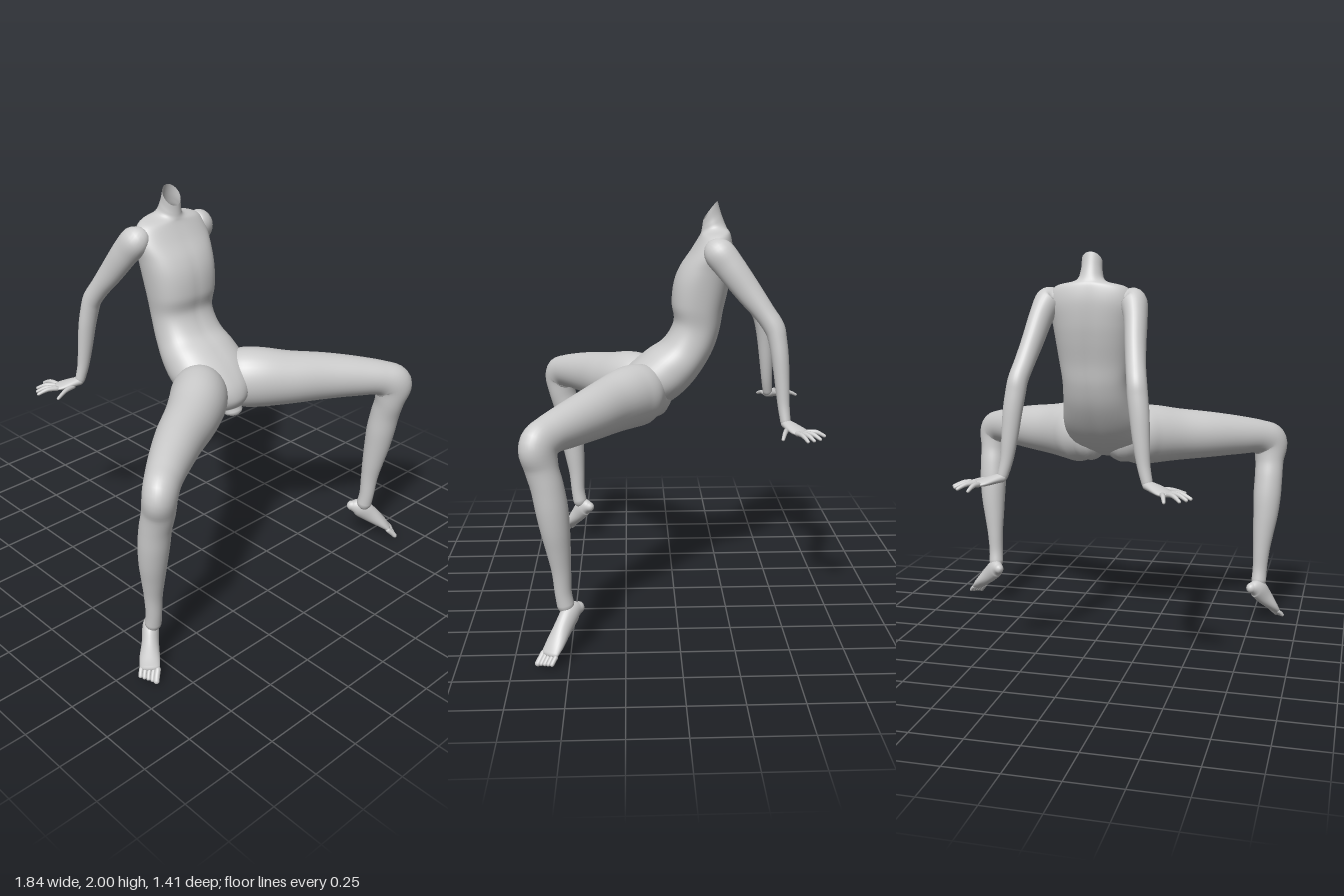
import * as THREE from 'three';

const V3 = (x, y, z) => new THREE.Vector3(x, y, z);
const CENTER = -0.03; // the body's mirror plane
const material = new THREE.MeshStandardMaterial({ color: 0xcccccc, side: THREE.DoubleSide });

// Smoothly interpolate rows of numbers
function refine(rows, steps) {
  const out = [];
  const at = (i) => rows[Math.max(0, Math.min(rows.length - 1, i))];
  for (let i = 0; i < rows.length - 1; i++) {
    for (let s = 0; s < steps; s++) {
      const t = s / steps;
      out.push(rows[i].map((p1, k) => {
        const p0 = at(i - 1)[k], p2 = at(i + 1)[k], p3 = at(i + 2)[k];
        return p1 + 0.5 * t * (p2 - p0 + t * (2 * p0 - 5 * p1 + 4 * p2 - p3 + t * (3 * (p1 - p2) + p3 - p0)));
      }));
    }
  }
  out.push(rows[rows.length - 1]);
  return out;
}

// Add a rounded end to a list of rings { c, U, V }
function dome(rings, atStart) {
  const n = rings.length;
  const end = rings[atStart ? 0 : n - 1], next = rings[atStart ? 1 : n - 2];
  const dir = end.c.clone().sub(next.c).normalize();
  const r = Math.min(end.U.length(), end.V.length());
  for (let k = 1; k <= 4; k++) {
    const a = k * Math.PI / 8, s = Math.max(Math.cos(a), 0.01);
    const ring = {
      c: end.c.clone().addScaledVector(dir, r * Math.sin(a)),
      U: end.U.clone().multiplyScalar(s), V: end.V.clone().multiplyScalar(s),
    };
    if (atStart) rings.unshift(ring); else rings.push(ring);
  }
}

// Skin rings into one smooth closed-around surface
function skin(name, rings, sides, shape = () => 1) {
  const pos = [], index = [];
  rings.forEach(({ c, U, V }, i) => {
    for (let j = 0; j < sides; j++) {
      const a = (j / sides) * Math.PI * 2;
      const m = shape(a, i / (rings.length - 1));
      const p = c.clone().addScaledVector(U, Math.cos(a) * m).addScaledVector(V, Math.sin(a) * m);
      pos.push(p.x, p.y, p.z);
      if (i === rings.length - 1) continue;
      const k = (j + 1) % sides, q = i * sides;
      index.push(q + j, q + k, q + sides + j, q + k, q + sides + k, q + sides + j);
    }
  });
  const geo = new THREE.BufferGeometry();
  geo.setAttribute('position', new THREE.Float32BufferAttribute(pos, 3));
  geo.setIndex(index);
  geo.computeVertexNormals();
  const mesh = new THREE.Mesh(geo, material);
  mesh.name = name;
  return mesh;
}

// Limb along rows [x, y, z, radiusU, radiusV]; U follows the side vector
function limb(name, rows, sideVec, s, sides = 28, steps = 6) {
  const fine = refine(rows, steps);
  const cs = fine.map((r) => V3(CENTER + s * r[0], r[1], r[2]));
  const ref = V3(s * sideVec[0], sideVec[1], sideVec[2]);
  const rings = fine.map((r, i) => {
    const T = cs[Math.min(i + 1, cs.length - 1)].clone().sub(cs[Math.max(i - 1, 0)]).normalize();
    const U = ref.clone().addScaledVector(T, -ref.dot(T)).normalize();
    const V = T.clone().cross(U);
    return { c: cs[i], U: U.multiplyScalar(r[3]), V: V.multiplyScalar(r[4]) };
  });
  dome(rings, true);
  dome(rings, false);
  return skin(name, rings, sides);
}

// Torso from the slanted open neck to the pelvis: [frontZ, frontY, backZ, backY, halfWidth]
function torso() {
  const rows = refine([
    [-0.145, 1.91, -0.215, 2.0, 0.05],
    [-0.14, 1.875, -0.235, 1.935, 0.053],
    [-0.135, 1.85, -0.26, 1.875, 0.075],
    [-0.125, 1.825, -0.278, 1.845, 0.175],
    [-0.085, 1.76, -0.29, 1.77, 0.21],
    [-0.03, 1.68, -0.285, 1.67, 0.2],
    [0, 1.6, -0.27, 1.58, 0.19],
    [0.01, 1.5, -0.245, 1.47, 0.177],
    [0, 1.41, -0.225, 1.36, 0.163],
    [0.05, 1.32, -0.185, 1.25, 0.172],
    [0.13, 1.265, -0.11, 1.13, 0.195],
    [0.22, 1.19, -0.03, 1.045, 0.2],
    [0.285, 1.11, 0.06, 0.985, 0.16],
    [0.305, 1.04, 0.13, 0.965, 0.11],
    [0.285, 0.99, 0.2, 0.965, 0.06],
  ], 6);
  const rings = rows.map(([fz, fy, bz, by, w]) => ({
    c: V3(CENTER, (fy + by) / 2, (fz + bz) / 2),
    U: V3(w, 0, 0),
    V: V3(0, (fy - by) / 2, (fz - bz) / 2),
  }));
  dome(rings, false);
  // Squarer chest with a soft spine groove and breastbone hollow
  return skin('torso', rings, 56, (a, t) => {
    const body = Math.sin(Math.PI * Math.min(1, Math.max(0, (t - 0.1) / 0.8)));
    const dent = (angle, width) => Math.exp(-(((a - angle) / width) ** 2));
    return 1 + body * (0.07 * Math.sin(2 * a) ** 2 - 0.07 * dent(1.5 * Math.PI, 0.16) - 0.02 * dent(0.5 * Math.PI, 0.12));
  });
}

function leg(s) {
  return limb('leg', [
    [0.085, 1.06, 0.11, 0.1, 0.12],
    [0.14, 1.07, 0.165, 0.135, 0.15],
    [0.21, 1.07, 0.23, 0.138, 0.152],
    [0.33, 1.06, 0.315, 0.127, 0.136],
    [0.48, 1.05, 0.405, 0.113, 0.121],
    [0.62, 1.037, 0.5, 0.098, 0.104],
    [0.73, 1.02, 0.58, 0.084, 0.09],
    [0.785, 0.98, 0.62, 0.078, 0.1],
    [0.787, 0.89, 0.61, 0.075, 0.077],
    [0.787, 0.8, 0.587, 0.073, 0.074],
    [0.784, 0.7, 0.57, 0.072, 0.074],
    [0.78, 0.6, 0.557, 0.065, 0.067],
    [0.772, 0.5, 0.545, 0.054, 0.056],
    [0.765, 0.4, 0.535, 0.043, 0.045],
    [0.76, 0.3, 0.53, 0.038, 0.039],
    [0.757, 0.235, 0.52, 0.039, 0.04],
  ], [-0.61, 0, 0.79], s, 36);
}

// Pointed foot; its toes swing by dx
function foot(s) {
  const g = new THREE.Group();
  g.name = 'foot';
  const dx = 0.025 * s, side = [-0.66, 0, 0.75];
  g.add(limb('instep', [
    [0.722, 0.205, 0.463, 0.026, 0.028],
    [0.752, 0.195, 0.495, 0.038, 0.05],
    [0.795 + dx * 0.4, 0.145, 0.53, 0.04, 0.045],
    [0.84 + dx * 0.8, 0.09, 0.565, 0.048, 0.029],
    [0.862 + dx, 0.06, 0.585, 0.047, 0.018],
  ], side, s, 24));
  for (let i = 0; i < 5; i++) {
    const o = (i - 2) * 0.019, r = i === 4 ? 0.014 : 0.0105;
    const x = 0.866 + dx - 0.66 * o, z = 0.588 + 0.75 * o;
    const reach = 0.65 + 0.0875 * i;
    g.add(limb('toe', [
      [x, 0.052, z, r, r],
      [x + 0.02 * reach, 0.052 - 0.022 * reach, z + 0.015 * reach, r, r],
      [x + 0.03 * reach, 0.052 - 0.036 * reach, z + 0.024 * reach, r, r * 0.9],
    ], side, s, 12, 3));
  }
  return g;
}

function arm(s) {
  return limb('arm', [
    [0.165, 1.785, -0.2, 0.045, 0.05],
    [0.203, 1.768, -0.207, 0.066, 0.074],
    [0.228, 1.7, -0.26, 0.056, 0.072],
    [0.247, 1.585, -0.347, 0.05, 0.063],
    [0.265, 1.49, -0.42, 0.047, 0.052],
    [0.28, 1.42, -0.467, 0.047, 0.05],
    [0.288, 1.36, -0.484, 0.048, 0.045],
    [0.3, 1.27, -0.497, 0.046, 0.041],
    [0.312, 1.15, -0.507, 0.039, 0.035],
    [0.325, 1.05, -0.514, 0.031, 0.029],
    [0.343, 0.975, -0.522, 0.026, 0.025],
  ], [1, 0, 0], s);
}

// Flat hand with spread fingers
function hand(s) {
  const g = new THREE.Group();
  g.name = 'hand';
  const side = [0.6, 0, 0.8];
  g.add(limb('palm', [
    [0.346, 0.965, -0.525, 0.027, 0.022],
    [0.385, 0.957, -0.548, 0.039, 0.02],
    [0.425, 0.947, -0.574, 0.046, 0.016],
    [0.452, 0.942, -0.592, 0.04, 0.011],
  ], side, s, 24));
  // Each finger: base x, z, tip x, z
  [
    [0.388, -0.525, 0.51, -0.489, 'thumb'],
    [0.464, -0.562, 0.555, -0.598, 'finger'],
    [0.462, -0.58, 0.54, -0.629, 'finger'],
    [0.45, -0.6, 0.515, -0.662, 'finger'],
    [0.43, -0.614, 0.452, -0.692, 'finger'],
  ].forEach(([bx, bz, tx, tz, name]) => {
    g.add(limb(name, [
      [bx, 0.945, bz, 0.013, 0.012],
      [(bx + tx) / 2, 0.947, (bz + tz) / 2, 0.011, 0.011],
      [tx, 0.93, tz, 0.008, 0.008],
    ], side, s, 12, 4));
  });
  return g;
}

export function createModel() {
  const model = new THREE.Group();
  model.name = 'mannequin';
  model.add(torso());
  for (const s of [1, -1]) {
    for (const build of [leg, foot, arm, hand]) {
      const part = build(s);
      part.name = (s > 0 ? 'left ' : 'right ') + part.name;
      model.add(part);
    }
  }
  return model;
}
